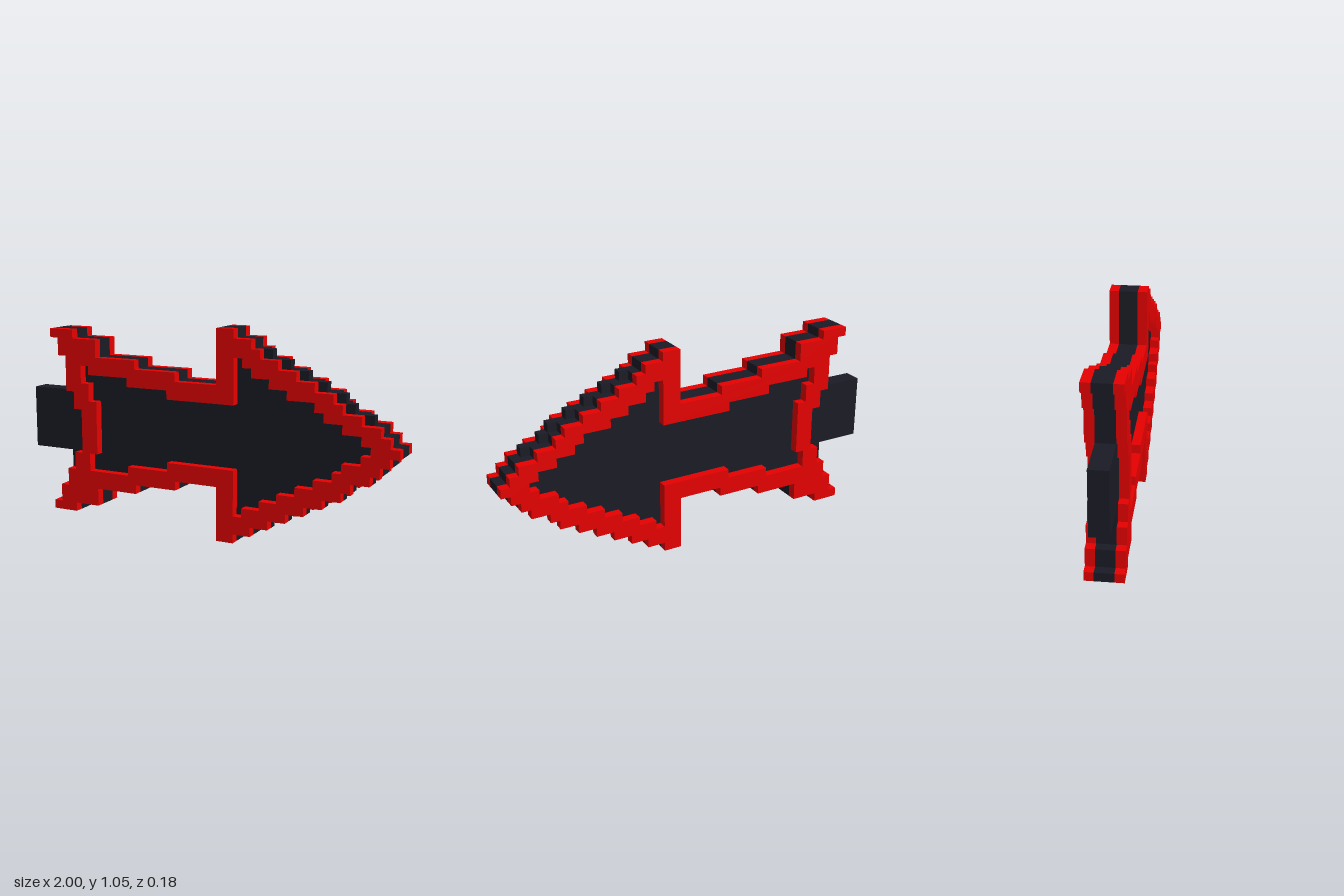
import * as THREE from 'three';

const U = 2 / 44; // size of one block
const ROWS = 23;

// Corner points of a stepped line: a start point, then alternating x and y moves
function stepped([x, y], moves) {
  const points = [[x, y]];
  moves.forEach((v, i) => {
    if (i % 2 === 0) x = v;
    else y = v;
    points.push([x, y]);
  });
  return points;
}

// Upside-down copy, running backwards so it continues the upper half
const mirrored = (points) => points.map(([x, y]) => [x, ROWS - y]).reverse();
const toWorld = (points) => points.map(([x, y]) => new THREE.Vector2((x - 22) * U, y * U));

// Upper edge: tail fin, shaft and barb, then a wide or narrow stair to the tip
const SHAFT = [5, 19, 4, 21, 3, 22, 6, 21, 9, 19, 14, 18, 19, 17, 24, 23, 26, 22, 28, 21];
const WIDE = [...SHAFT, 30, 20, 32, 19, 34, 18, 36, 17, 38, 16, 39, 15, 41, 14, 42, 13, 43, 12, 44];
const NARROW = [...SHAFT, 29, 20, 31, 19, 33, 18, 35, 17, 37, 16, 38, 15, 40, 14, 42, 13, 43, 12, 44];

// Inside edge of the raised border
const OPENING = [8, 17, 13, 16, 18, 15, 26, 20, 27, 19, 28, 18, 30, 17, 32, 16, 35, 15, 36, 14, 38, 13,
  40, 12, 41, 11, 40, 10, 38, 9, 37, 8, 35, 7, 33, 6, 31, 5, 29, 4, 27, 3, 26, 8, 18, 7, 13, 6,
  8, 8, 9, 14, 8, 16, 7];

export function createModel() {
  const model = new THREE.Group();
  model.name = 'arrow';

  const red = new THREE.MeshStandardMaterial({ color: 0xe60000 });
  red.name = 'red';
  const dark = new THREE.MeshStandardMaterial({ color: 0x1b1b25 });
  dark.name = 'charcoal';

  const addLayer = (name, shape, z, material) => {
    const geometry = new THREE.ExtrudeGeometry(shape, { depth: U, bevelEnabled: false });
    const mesh = new THREE.Mesh(geometry, material);
    mesh.name = name;
    mesh.position.z = z;
    model.add(mesh);
  };

  // Dark core with the tail grip, in two layers
  const coreShape = (edge) => {
    const upper = stepped([0, 15], edge);
    return new THREE.Shape(toWorld([...upper, ...mirrored(upper)]));
  };
  addLayer('frontCore', coreShape(WIDE), 0, dark);
  addLayer('backCore', coreShape(NARROW), -U, dark);

  // Matching raised border on both faces
  const border = new THREE.Shape(toWorld([
    ...stepped([6, 15], NARROW),
    ...mirrored(stepped([6, 17], WIDE)),
    ...stepped([6, 8], [7, 13, 6]),
  ]));
  border.holes.push(new THREE.Path(toWorld(stepped([7, 18], OPENING)).reverse()));
  addLayer('frontBorder', border, U, red);
  addLayer('backBorder', border, -2 * U, red);

  return model;
}
